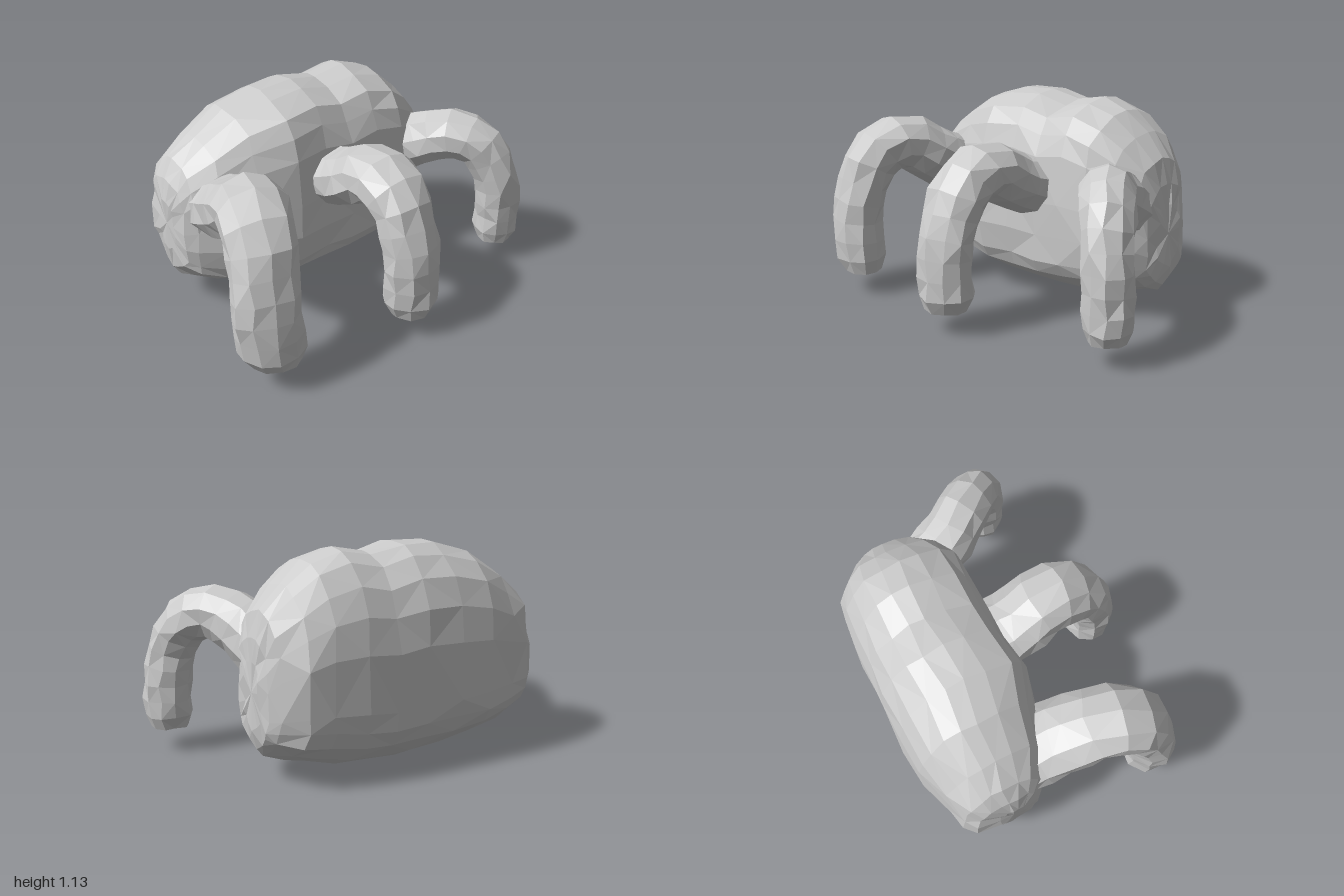
import * as THREE from 'three';

const material = new THREE.MeshStandardMaterial({ color: 0xcccccc, flatShading: true });

// Small repeatable offset that gives the surface its hand-cut facets
let seed = 7;
function jitter(size) {
  seed = (seed * 16807) % 2147483647;
  return (seed / 2147483647 - 0.5) * 2 * size;
}

// Skin over rings of points (counter-clockwise about the direction of travel), capped at both ends
function loft(name, rings, rough) {
  const n = rings[0].length, last = rings.length - 1;
  const positions = [], index = [];
  const centre = ring => ring.reduce((s, p) => s.add(p), new THREE.Vector3()).divideScalar(n);
  for (const ring of rings) {
    for (const p of ring) positions.push(p.x + jitter(rough), p.y + jitter(rough * 0.5), p.z + jitter(rough));
  }
  positions.push(...centre(rings[0]).toArray(), ...centre(rings[last]).toArray());
  const start = n * rings.length, end = start + 1;
  for (let j = 0; j < n; j++) {
    const k = (j + 1) % n;
    for (let i = 0; i < last; i++) {
      const a = i * n + j, b = i * n + k, c = b + n, d = a + n;
      if ((i + j) % 2) index.push(a, b, c, a, c, d);
      else index.push(a, b, d, b, c, d);
    }
    index.push(start, k, j, end, last * n + j, last * n + k);
  }
  const geometry = new THREE.BufferGeometry();
  geometry.setAttribute('position', new THREE.Float32BufferAttribute(positions, 3));
  geometry.setIndex(index);
  geometry.computeVertexNormals();
  const mesh = new THREE.Mesh(geometry, material);
  mesh.name = name;
  return mesh;
}

// Bulky body: one side profile (back 0 to front 1, bottom 0 to top 1) fitted into each station along x
function makeBody() {
  const profile = [
    [0.5, 1], [0.66, 0.98], [0.83, 0.93], [0.91, 0.85], [0.965, 0.75], [1, 0.52], [1, 0.36],
    [0.98, 0.22], [0.93, 0.155], [0.7, 0.06], [0.45, 0], [0.26, 0.06], [0.08, 0.15], [0.02, 0.23],
    [0, 0.32], [0, 0.58], [0.04, 0.74], [0.12, 0.86], [0.24, 0.95], [0.37, 0.99],
  ];
  // x, bottom, top, back, front
  const stations = [
    [-0.885, 0.36, 0.66, -0.42, -0.28],
    [-0.86, 0.22, 0.77, -0.54, -0.2],
    [-0.81, 0.15, 0.86, -0.6, -0.14],
    [-0.68, 0.09, 0.96, -0.64, -0.07],
    [-0.5, 0.04, 1.07, -0.7, -0.01],
    [-0.3, 0.01, 1.13, -0.71, 0.05],
    [-0.1, 0.005, 1.14, -0.715, 0.02],
    [0.08, 0.005, 1.1, -0.715, 0.01],
    [0.25, 0.02, 1.13, -0.71, 0.01],
    [0.42, 0.06, 1.08, -0.7, 0.01],
    [0.55, 0.1, 0.98, -0.67, -0.05],
    [0.65, 0.135, 0.86, -0.57, -0.13],
    [0.69, 0.17, 0.73, -0.51, -0.2],
    [0.705, 0.28, 0.62, -0.45, -0.28],
  ];
  const rings = stations.map(([x, y0, y1, z0, z1]) => profile.map(([u, v]) =>
    new THREE.Vector3(x, y0 + v * (y1 - y0), z0 + u * (z1 - z0))));
  return loft('body', rings, 0.01);
}

// Arched leg: oval rings swept along a curve in an upright plane, thickest where it joins the body
function makeLeg(name, points, halfWidth, halfDepth) {
  const curve = new THREE.CatmullRomCurve3(points.map(p => new THREE.Vector3(...p)));
  const first = points[0], foot = points[points.length - 1];
  const side = new THREE.Vector3(foot[2] - first[2], 0, first[0] - foot[0]).normalize();
  const steps = 12, sides = 10, rings = [];
  const addRing = (t, scale) => {
    const centre = curve.getPointAt(t);
    const normal = curve.getTangentAt(t).cross(side).normalize();
    rings.push(Array.from({ length: sides }, (_, j) => {
      const a = (j + 0.5) / sides * Math.PI * 2;
      return centre.clone()
        .addScaledVector(side, Math.cos(a) * halfWidth * scale)
        .addScaledVector(normal, Math.sin(a) * halfDepth * scale);
    }));
  };
  for (let i = 0; i <= steps; i++) {
    const t = i / steps * 0.94;
    addRing(t, 1 + 0.3 * Math.max(0, 1 - t / 0.6));
  }
  addRing(1, 0.75); // bevelled foot
  return loft(name, rings, 0.01);
}

export function createModel() {
  const model = new THREE.Group();
  model.name = 'leggedBlob';
  model.add(
    makeBody(),
    makeLeg('middleLeg', [
      [-0.01, 0.64, -0.12], [-0.01, 0.71, 0.1], [0, 0.81, 0.29], [0.01, 0.755, 0.44],
      [0.01, 0.57, 0.55], [0.01, 0.35, 0.585], [0.01, 0.125, 0.58],
    ], 0.16, 0.13),
    makeLeg('rightLeg', [
      [-0.63, 0.63, -0.17], [-0.66, 0.72, 0.03], [-0.72, 0.84, 0.25], [-0.77, 0.78, 0.39],
      [-0.81, 0.58, 0.48], [-0.82, 0.35, 0.51], [-0.79, 0.125, 0.51],
    ], 0.17, 0.135),
    makeLeg('leftLeg', [
      [0.54, 0.63, -0.18], [0.6, 0.72, 0], [0.68, 0.765, 0.12], [0.775, 0.715, 0.235],
      [0.84, 0.56, 0.31], [0.87, 0.35, 0.325], [0.865, 0.125, 0.32],
    ], 0.13, 0.125),
  );
  return model;
}
